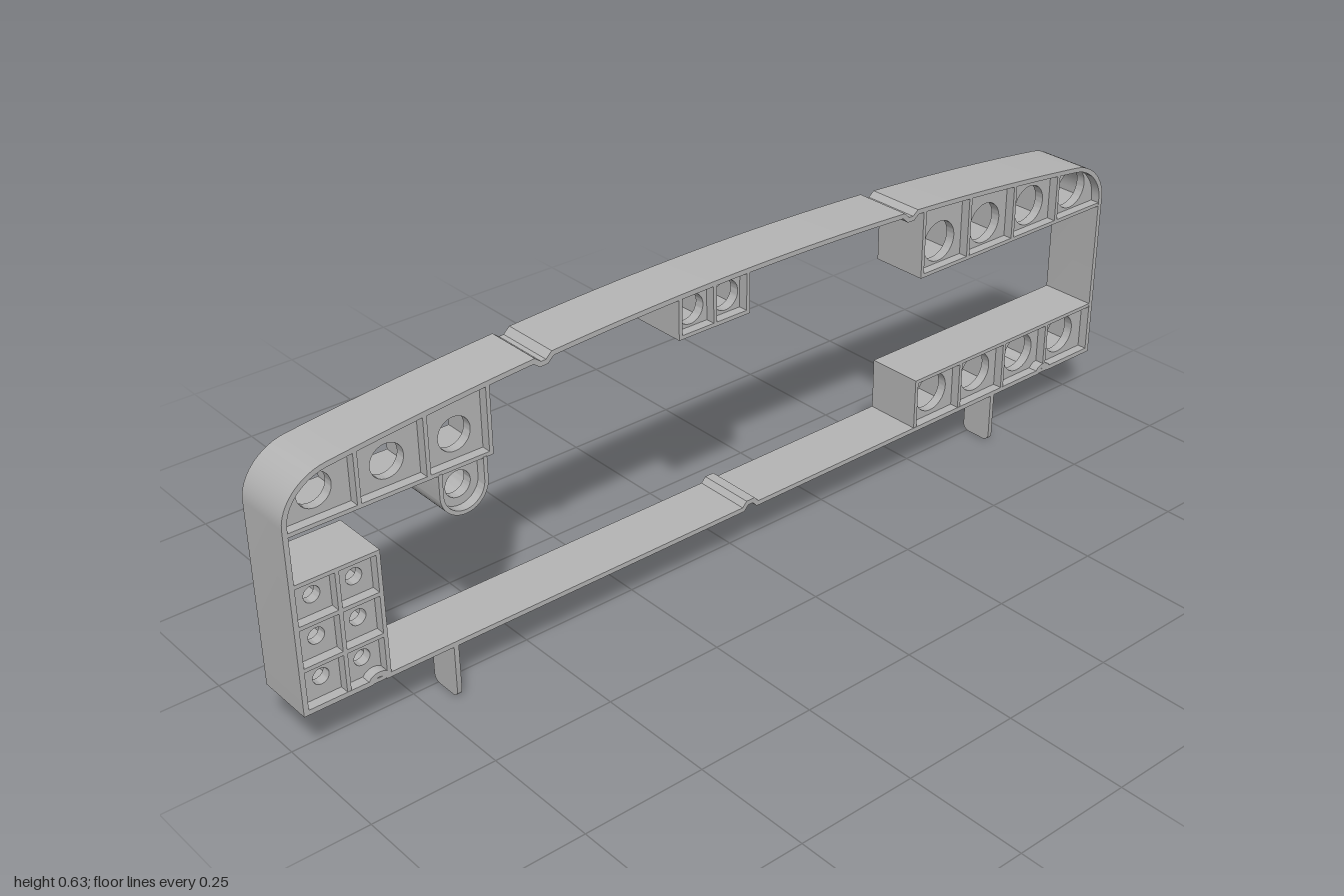
import * as THREE from 'three';
import { toCreasedNormals } from 'three/addons/utils/BufferGeometryUtils.js';

const BACK = -0.061, FRONT = 0.062, BASE = 0.11, WALL = 0.008;
const PLATE_BACK = 0.022, PLATE_FRONT = 0.042;

// Outer height of the arched top, falling into rounded ends
function roofY(x) {
  const t = Math.min(1, Math.max(0, (Math.abs(x) - 0.91) / 0.09));
  return 0.63 - 0.07 * x * x - 0.08 * (1 - Math.sqrt(1 - t * t));
}

// Inset a counter-clockwise outline with mitred corners
function inset(points, d) {
  const n = points.length;
  return points.map((p, i) => {
    const a = p.clone().sub(points[(i + n - 1) % n]).normalize();
    const b = points[(i + 1) % n].clone().sub(p).normalize();
    const k = d / Math.max(0.4, 1 + a.dot(b));
    return new THREE.Vector2(p.x - (a.y + b.y) * k, p.y + (a.x + b.x) * k);
  });
}

function circle(x, y, r) {
  return new THREE.Path().absarc(x, y, r, 0, Math.PI * 2, true);
}

function extrude(shape, z0, z1) {
  const g = new THREE.ExtrudeGeometry(shape, { depth: z1 - z0, bevelEnabled: false, curveSegments: 24 });
  g.translate(0, 0, z0);
  return toCreasedNormals(g, 0.5);
}

export function createModel() {
  const model = new THREE.Group();
  const plastic = new THREE.MeshStandardMaterial({ color: 0xb4b4b4 });
  plastic.name = 'grey plastic';

  const add = (parent, name, geometry) => {
    const mesh = new THREE.Mesh(geometry, plastic);
    mesh.name = name;
    parent.add(mesh);
    return mesh;
  };
  const wall = (parent, name, x0, x1, y0, y1) => {
    const g = new THREE.BoxGeometry(x1 - x0, y1 - y0, FRONT - BACK - 0.001);
    g.translate((x0 + x1) / 2, (y0 + y1) / 2, (FRONT + BACK) / 2);
    add(parent, name, g);
  };

  // Frame outline: bottom edge with three raised grooves
  const pts = [];
  const p = (x, y) => pts.push(new THREE.Vector2(x, y));
  const roundGroove = (cx) => {
    for (let i = 0; i <= 8; i++) {
      const a = Math.PI * (1 - i / 8);
      p(cx + 0.014 * Math.cos(a), BASE + 0.011 * Math.sin(a));
    }
  };
  p(-1, BASE);
  roundGroove(-0.85);
  p(-0.016, BASE); p(-0.006, BASE + 0.011); p(0.006, BASE + 0.011); p(0.016, BASE);
  roundGroove(0.85);
  p(1, BASE);
  // Arched top, right to left, with two creases
  const xs = [];
  for (let i = 0; i <= 12; i++) xs.push(0.91 + 0.09 * Math.cos((i / 12) * Math.PI / 2));
  for (let i = 1; i < 40; i++) xs.push(0.91 - (1.82 * i) / 40);
  for (let i = 12; i >= 0; i--) xs.push(-0.91 - 0.09 * Math.cos((i / 12) * Math.PI / 2));
  const creases = [0.415, -0.475];
  const along = xs.filter((x) => creases.every((c) => Math.abs(x - c) > 0.022)).map((x) => [x, 0]);
  for (const c of creases) along.push([c + 0.018, 0], [c + 0.005, -0.011], [c - 0.005, -0.011], [c - 0.018, 0]);
  along.sort((a, b) => b[0] - a[0]);
  along.forEach(([x, dy]) => p(x, roofY(x) + dy));

  const ring = new THREE.Shape(pts);
  ring.holes.push(new THREE.Path(inset(pts, 0.01)));
  add(model, 'outerFrame', extrude(ring, BACK, FRONT));

  // Block of open cells around a pierced plate; it may reach up to the arch
  function cellBlock(name, cols, rows, holes, r, arched) {
    const group = new THREE.Group();
    group.name = name;
    const x0 = cols[0], x1 = cols[cols.length - 1];
    const y0 = rows[0], y1 = rows[rows.length - 1];
    const h = WALL / 2;
    const shape = new THREE.Shape();
    shape.moveTo(x0, y0);
    shape.lineTo(x1, y0);
    for (let i = 0; i <= 24; i++) {
      const x = x1 + ((x0 - x1) * i) / 24;
      shape.lineTo(x, arched ? roofY(x) - 0.005 : y1);
    }
    holes.forEach(([x, y]) => shape.holes.push(circle(x, y, r)));
    add(group, 'piercedPlate', extrude(shape, PLATE_BACK, PLATE_FRONT));
    for (const x of cols) {
      if (Math.abs(x) > 0.98) continue;
      wall(group, 'cellWall', x - h, x + h, y0 - h, arched ? roofY(x) - 0.005 : y1 + h);
    }
    for (const y of rows) wall(group, 'cellShelf', x0 - (x0 < -0.98 ? 0 : h), x1 + (x1 > 0.98 ? 0 : h), y - h, y + h);
    model.add(group);
  }

  const rightCols = [0.455, 0.586, 0.719, 0.853, 0.995];
  const rightHoles = [0.519, 0.652, 0.786, 0.918];
  cellBlock('upperLeftCells', rightCols, [0.466], rightHoles.map((x) => [x, 0.517]), 0.043, true);
  cellBlock('lowerLeftCells', rightCols, [0.115, 0.226], rightHoles.map((x) => [x, 0.173]), 0.043, false);
  cellBlock('upperRightCells', [-0.995, -0.855, -0.719, -0.592], [0.466],
    [-0.925, -0.786, -0.652].map((x) => [x, 0.517]), 0.033, true);
  cellBlock('centreCells', [-0.17, -0.088, -0.008], [0.541], [[-0.131, 0.58], [-0.047, 0.58]], 0.03, true);
  const small = [];
  for (const x of [-0.95, -0.869]) for (const y of [0.16, 0.243, 0.326]) small.push([x, y]);
  cellBlock('lowerRightCells', [-0.991, -0.91, -0.83], [0.115, 0.2, 0.284, 0.366], small, 0.016, false);

  // Rounded cup hanging under the upper right cells
  const cup = new THREE.Group();
  cup.name = 'roundCup';
  const cx = -0.652, cy = 0.419, top = 0.464;
  const uShape = (r) => {
    const s = new THREE.Shape();
    s.moveTo(cx - r, top);
    s.lineTo(cx - r, cy);
    s.absarc(cx, cy, r, Math.PI, Math.PI * 2, false);
    s.lineTo(cx + r, top);
    s.closePath();
    return s;
  };
  const rim = new THREE.Shape();
  rim.moveTo(cx - 0.05, top);
  rim.lineTo(cx - 0.05, cy);
  rim.absarc(cx, cy, 0.05, Math.PI, Math.PI * 2, false);
  rim.lineTo(cx + 0.05, top);
  rim.lineTo(cx + 0.042, top);
  rim.lineTo(cx + 0.042, cy);
  rim.absarc(cx, cy, 0.042, 0, Math.PI, true);
  rim.lineTo(cx - 0.042, top);
  add(cup, 'cupWall', extrude(rim, BACK, FRONT));
  const cupPlate = uShape(0.046);
  cupPlate.holes.push(circle(cx, cy, 0.026));
  add(cup, 'cupPlate', extrude(cupPlate, PLATE_BACK, PLATE_FRONT));
  model.add(cup);

  // Two thin feet with rounded lower corners
  const foot = new THREE.Shape();
  const z0 = -0.01, r = 0.015;
  foot.moveTo(-FRONT, BASE + 0.004);
  foot.lineTo(-FRONT, r);
  foot.absarc(-FRONT + r, r, r, Math.PI, Math.PI * 1.5, false);
  foot.absarc(-z0 - r, r, r, Math.PI * 1.5, Math.PI * 2, false);
  foot.lineTo(-z0, BASE + 0.004);
  foot.closePath();
  for (const [name, x] of [['rightFoot', -0.692], ['leftFoot', 0.69]]) {
    const mesh = add(model, name, extrude(foot, -0.005, 0.005));
    mesh.rotation.y = Math.PI / 2;
    mesh.position.x = x;
  }

  return model;
}
